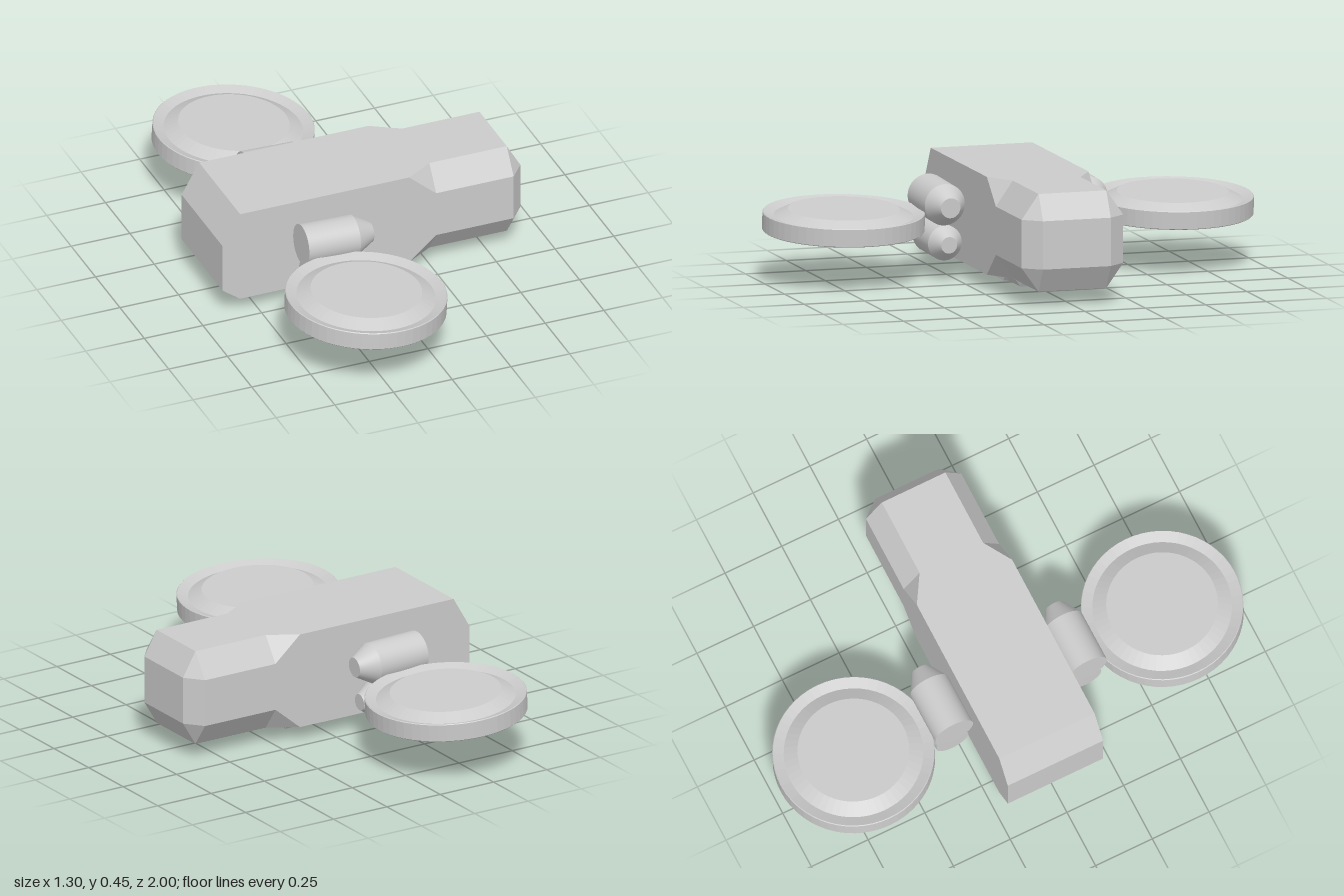
import * as THREE from 'three';

const material = new THREE.MeshStandardMaterial({ color: 0xcccccc });
const faceted = new THREE.MeshStandardMaterial({ color: 0xcccccc, flatShading: true });

function addMesh(parent, name, geometry, mat = material) {
  const mesh = new THREE.Mesh(geometry, mat);
  mesh.name = name;
  parent.add(mesh);
  return mesh;
}

// Eight-sided hull lofted along x. Section: [x, bottom, lower corner, upper corner, top, side z, flat z]
function hullGeometry(sections) {
  const rings = sections.map(([x, bottom, low, high, top, side, flat]) => [
    [top, flat], [high, side], [low, side], [bottom, flat],
    [bottom, -flat], [low, -side], [high, -side], [top, -flat],
  ].map(([y, z]) => new THREE.Vector3(x, y, z)));
  const positions = [];
  const triangle = (a, b, c) => {
    if (new THREE.Triangle(a, b, c).getArea() < 1e-7) return; // collapsed corners
    for (const p of [a, b, c]) positions.push(p.x, p.y, p.z);
  };
  for (let i = 0; i + 1 < rings.length; i++) {
    for (let j = 0; j < 8; j++) {
      const k = (j + 1) % 8;
      triangle(rings[i][j], rings[i][k], rings[i + 1][k]);
      triangle(rings[i][j], rings[i + 1][k], rings[i + 1][j]);
    }
  }
  const rear = rings[0], nose = rings[rings.length - 1];
  for (let j = 1; j < 7; j++) {
    triangle(nose[0], nose[j], nose[j + 1]);
    triangle(rear[0], rear[j + 1], rear[j]);
  }
  const geometry = new THREE.BufferGeometry();
  geometry.setAttribute('position', new THREE.Float32BufferAttribute(positions, 3));
  geometry.computeVertexNormals();
  return geometry;
}

// Engine pod: straight barrel with a tapered front, pointing along +x
function createPod(name, x0, x1, x2, radius, tipRadius) {
  const pod = new THREE.Group();
  pod.name = name;
  const section = (part, from, to, rFrom, rTo) => {
    const geometry = new THREE.CylinderGeometry(rTo, rFrom, to - from, 40);
    geometry.rotateZ(-Math.PI / 2).translate((from + to) / 2, 0, 0);
    addMesh(pod, part, geometry);
  };
  section('podBarrel', x0, x1, radius, radius);
  section('podCone', x1, x2, radius, tipRadius);
  return pod;
}

// Disc: thick rim, sunken groove and raised centre, the same above and below
function discGeometry() {
  const half = [[0, 0.05], [0.22, 0.05], [0.275, 0.022], [0.317, 0.037], [0.32, 0.034]];
  const profile = [
    ...half.map(([r, y]) => new THREE.Vector2(r, -y)),
    ...half.slice().reverse().map(([r, y]) => new THREE.Vector2(r, y)),
  ];
  return new THREE.LatheGeometry(profile, 56);
}

export function createModel() {
  const model = new THREE.Group();
  model.name = 'craft';

  // Main body: wedge tail, square middle, chamfered nose
  addMesh(model, 'body', hullGeometry([
    [-0.65, 0.115, 0.115, 0.32, 0.32, 0.21, 0.21],
    [-0.575, 0.06, 0.06, 0.45, 0.45, 0.21, 0.21],
    [0.145, 0.06, 0.06, 0.45, 0.45, 0.21, 0.21],
    [0.26, 0.06, 0.157, 0.35, 0.45, 0.21, 0.14],
    [0.59, 0.06, 0.157, 0.35, 0.45, 0.21, 0.14],
    [0.648, 0.157, 0.157, 0.35, 0.35, 0.14, 0.14],
  ]), faceted);

  // Keel block under the body
  addMesh(model, 'keel', hullGeometry([
    [-0.425, 0, 0, 0.062, 0.062, 0.08, 0.08],
    [-0.045, 0, 0, 0.062, 0.062, 0.08, 0.08],
    [-0.02, 0, 0.026, 0.036, 0.062, 0.08, 0.062],
    [0.117, 0, 0.026, 0.036, 0.062, 0.08, 0.062],
    [0.132, 0.026, 0.026, 0.036, 0.036, 0.062, 0.062],
  ]), faceted);

  // Pods and disc on both sides
  for (const [side, s] of [['left', 1], ['right', -1]]) {
    const upper = createPod(side + 'UpperPod', -0.35, -0.13, -0.055, 0.083, 0.04);
    upper.position.set(0, 0.295, s * 0.295);
    upper.rotation.z = -0.03;
    const lower = createPod(side + 'LowerPod', -0.33, -0.135, -0.08, 0.07, 0.033);
    lower.position.set(0, 0.143, s * 0.293);
    lower.rotation.z = -0.02;
    model.add(upper, lower);

    const disc = addMesh(model, side + 'Disc', discGeometry(), faceted);
    disc.position.set(-0.235, 0.238, s * 0.68);
    disc.rotation.z = -0.055;
  }
  return model;
}
